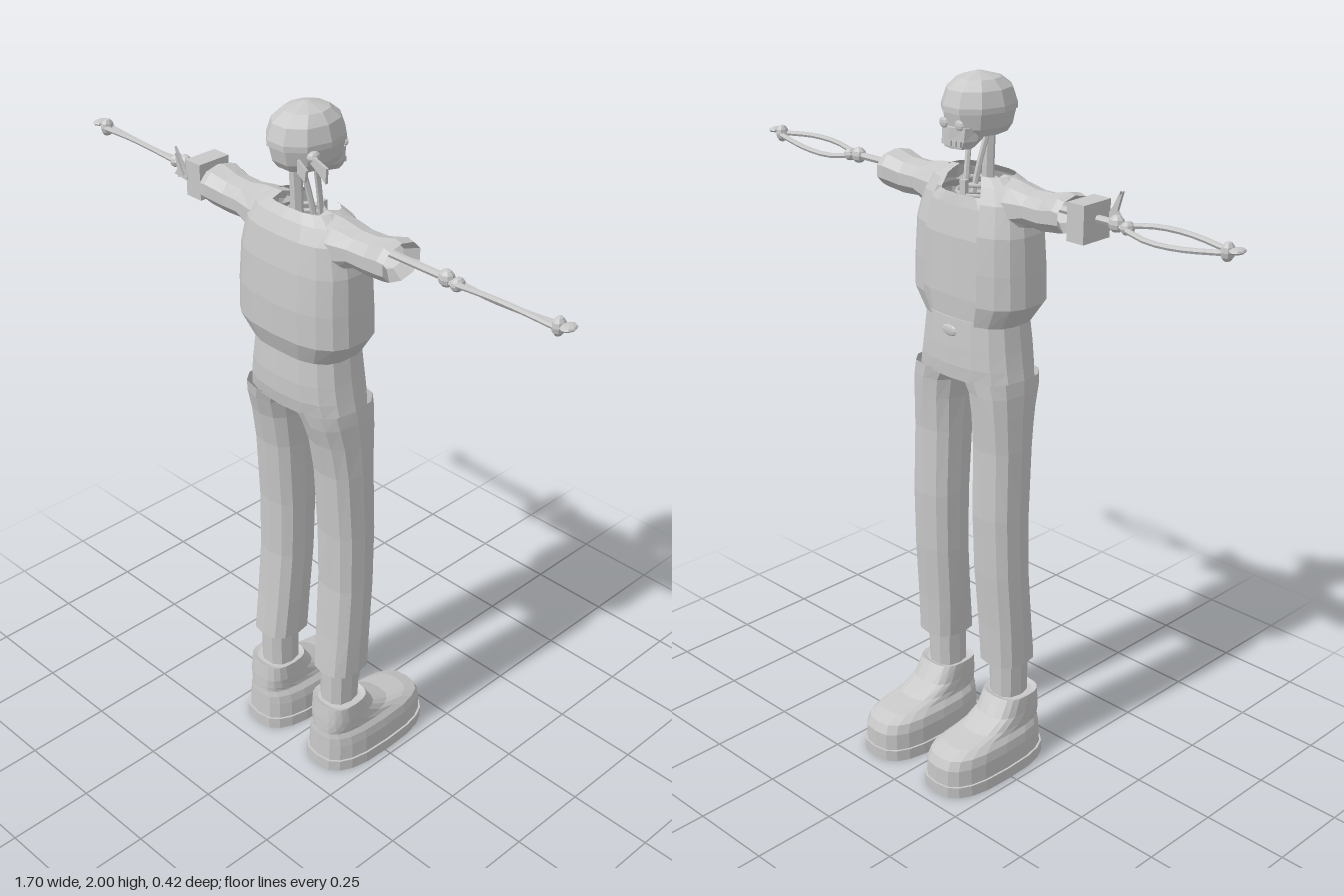
import * as THREE from 'three';

const cloth = new THREE.MeshStandardMaterial({ color: 0xc8c8c8, side: THREE.DoubleSide });
cloth.name = 'plain grey';

// Faceted surface through super-ellipse rings [pos, cMin, cMax, zMin, zMax].
// axis 'y': rings lie in x/z; axis 'x': rings lie in y/z.
function loft(rings, { axis = 'y', n = 12, power = 2.4, start = 0, sweep = Math.PI * 2, caps = false } = {}) {
  const bend = (v) => Math.sign(v) * Math.pow(Math.abs(v), 2 / power);
  const place = (p, u, z) => (axis === 'y' ? [u, p, z] : [p, u, z]);
  const pos = [], idx = [];
  for (const [p, u0, u1, z0, z1] of rings) {
    for (let i = 0; i <= n; i++) {
      const a = start + (sweep * i) / n;
      pos.push(...place(p, (u0 + u1) / 2 + ((u1 - u0) / 2) * bend(Math.cos(a)), (z0 + z1) / 2 + ((z1 - z0) / 2) * bend(Math.sin(a))));
    }
  }
  const w = n + 1;
  for (let j = 0; j < rings.length - 1; j++) {
    for (let i = 0; i < n; i++) {
      const a = j * w + i;
      idx.push(a, a + w, a + 1, a + 1, a + w, a + w + 1);
    }
  }
  if (caps) {
    [0, rings.length - 1].forEach((j, end) => {
      const [p, u0, u1, z0, z1] = rings[j];
      const c = pos.length / 3;
      pos.push(...place(p, (u0 + u1) / 2, (z0 + z1) / 2));
      for (let i = 0; i < n; i++) {
        const a = j * w + i;
        if (end) idx.push(c, a + 1, a);
        else idx.push(c, a, a + 1);
      }
    });
  }
  const g = new THREE.BufferGeometry();
  g.setAttribute('position', new THREE.Float32BufferAttribute(pos, 3));
  g.setIndex(idx);
  const flat = g.toNonIndexed();
  flat.computeVertexNormals();
  return flat;
}

function flatten(g) {
  const f = g.index ? g.toNonIndexed() : g;
  f.computeVertexNormals();
  return f;
}

// Thin plate from a list of x/y points
function plate(points, z) {
  const s = new THREE.Shape(points.map(([x, y]) => new THREE.Vector2(x, y)));
  return new THREE.ExtrudeGeometry(s, { depth: 0.008, bevelEnabled: false }).translate(0, 0, z);
}

function rod(points, r) {
  const curve = new THREE.CatmullRomCurve3(points.map((p) => new THREE.Vector3(...p)));
  return flatten(new THREE.TubeGeometry(curve, 8, r, 6, false));
}

function knob(x, y, z, sx, sy, sz) {
  return flatten(new THREE.SphereGeometry(1, 8, 6).scale(sx, sy, sz).translate(x, y, z));
}

export function createModel() {
  const model = new THREE.Group();
  const add = (name, geometry) => {
    const m = new THREE.Mesh(geometry, cloth);
    m.name = name;
    model.add(m);
    return m;
  };
  const box = (name, w, h, d, x, y, z) => add(name, new THREE.BoxGeometry(w, h, d).translate(x, y, z));

  // Jacket, open down the -z side, over a shirt
  const gap = 0.4;
  add('jacket', loft([
    [1.35, -0.155, 0.155, -0.018, 0.19],
    [1.41, -0.196, 0.196, -0.03, 0.212],
    [1.5, -0.193, 0.193, -0.03, 0.212],
    [1.6, -0.188, 0.188, -0.024, 0.204],
    [1.68, -0.17, 0.17, -0.004, 0.19],
    [1.72, -0.145, 0.145, 0.015, 0.17],
    [1.742, -0.105, 0.105, 0.035, 0.15],
  ], { n: 16, power: 2.7, start: -Math.PI / 2 + gap, sweep: Math.PI * 2 - 2 * gap }));
  add('shirt', loft([
    [1.34, -0.145, 0.145, -0.015, 0.18],
    [1.42, -0.18, 0.18, -0.018, 0.2],
    [1.58, -0.175, 0.175, -0.012, 0.19],
    [1.66, -0.155, 0.155, 0.004, 0.175],
    [1.69, -0.11, 0.11, 0.012, 0.16],
  ], { n: 16, power: 2.7 }));

  // Collarbone rings and sternum visible in the neck opening
  for (let i = 0; i < 3; i++) {
    const r = 0.05 + i * 0.012;
    add('rib', new THREE.TorusGeometry(r, 0.006, 5, 14).rotateX(Math.PI / 2).translate(0, 1.71 - i * 0.025, 0.09));
  }
  box('sternum', 0.02, 0.09, 0.012, 0, 1.68, 0.03);

  // Trousers seat
  add('trouserSeat', loft([
    [1.19, -0.178, 0.178, -0.025, 0.19],
    [1.23, -0.17, 0.17, -0.028, 0.197],
    [1.28, -0.162, 0.162, -0.026, 0.197],
    [1.36, -0.152, 0.152, -0.02, 0.19],
  ], { n: 16, power: 2.5, caps: true }));
  add('beltBuckle', knob(0, 1.325, -0.024, 0.028, 0.016, 0.006));

  for (const s of [1, -1]) {
    const side = s > 0 ? 'left' : 'right';
    const mirror = (rings) => rings.map(([p, a, b, c, d]) => [p, s * a, s * b, c, d]);

    // Trouser leg, sock and shoe
    add(side + 'TrouserLeg', loft(mirror([
      [0.33, 0.055, 0.195, 0.01, 0.16],
      [0.45, 0.05, 0.195, 0.005, 0.147],
      [0.62, 0.045, 0.193, -0.008, 0.133],
      [0.8, 0.042, 0.191, -0.015, 0.133],
      [1.0, 0.04, 0.188, -0.012, 0.145],
      [1.1, 0.038, 0.184, -0.018, 0.162],
      [1.16, 0.03, 0.181, -0.022, 0.18],
      [1.2, 0.004, 0.177, -0.025, 0.19],
    ]), { n: 12, power: 2.6 }));
    add(side + 'Sock', loft(mirror([
      [0.19, 0.075, 0.175, 0.04, 0.145],
      [0.36, 0.075, 0.178, 0.035, 0.145],
    ]), { n: 10 }));
    add(side + 'Sole', loft(mirror([
      [0, 0.028, 0.23, -0.21, 0.188],
      [0.035, 0.028, 0.23, -0.212, 0.188],
    ]), { n: 20, power: 2.8, caps: true }));
    add(side + 'Shoe', loft(mirror([
      [0.035, 0.034, 0.224, -0.206, 0.182],
      [0.085, 0.036, 0.222, -0.206, 0.18],
      [0.112, 0.042, 0.217, -0.194, 0.179],
      [0.128, 0.055, 0.206, -0.15, 0.177],
      [0.142, 0.058, 0.204, -0.07, 0.176],
      [0.17, 0.059, 0.202, -0.008, 0.174],
      [0.22, 0.061, 0.199, 0.025, 0.168],
      [0.215, 0.075, 0.185, 0.038, 0.155],
    ]), { n: 20, power: 2.8, caps: true }));

    // Sleeve with flared open cuff
    add(side + 'Sleeve', loft([
      [s * 0.08, 1.6, 1.742, 0.025, 0.165],
      [s * 0.14, 1.6, 1.738, 0.025, 0.16],
      [s * 0.2, 1.63, 1.726, 0.032, 0.15],
      [s * 0.255, 1.626, 1.728, 0.032, 0.148],
      [s * 0.31, 1.634, 1.742, 0.02, 0.16],
      [s * 0.33, 1.638, 1.736, 0.022, 0.158],
      [s * 0.3, 1.66, 1.72, 0.05, 0.125],
    ], { axis: 'x', n: 10, power: 2.1 }));

    // Arm bones
    const y = 1.695, z = 0.085;
    add(side + 'UpperArmBone', rod([[s * 0.15, y, z], [s * 0.3, y, z], [s * 0.46, y, z]], 0.01));
    add(side + 'Elbow', knob(s * 0.47, y, z, 0.022, 0.023, 0.02));
    add(side + 'ElbowEnd', knob(s * 0.505, y - 0.004, z, 0.017, 0.018, 0.022));
    for (const k of [1, -1]) {
      add(side + 'ForearmBone', rod([
        [s * 0.49, y - 0.003, z + k * 0.009],
        [s * 0.58, y - 0.003 + k * 0.014, z + k * 0.02],
        [s * 0.68, y + k * 0.014, z + k * 0.02],
        [s * 0.81, y + 0.003, z + k * 0.009],
      ], 0.0075));
    }
    add(side + 'Wrist', knob(s * 0.805, y + 0.004, z, 0.016, 0.025, 0.021));
    add(side + 'Hand', knob(s * 0.832, y + 0.011, z, 0.018, 0.008, 0.026));
  }

  // Knotted band on the upper right arm
  box('armBand', 0.055, 0.1, 0.1, -0.382, 1.687, 0.083);
  add('armBandTail', plate([[-0.4, 1.69], [-0.45, 1.762], [-0.435, 1.71], [-0.455, 1.685], [-0.41, 1.68]], 0.128))
    .geometry.rotateX(0);
  add('armBandTail', plate([[-0.4, 1.7], [-0.428, 1.755], [-0.42, 1.69]], 0.145));

  // Neck
  add('neckSpine', rod([[0, 1.62, 0.12], [0, 1.75, 0.12], [0, 1.87, 0.125]], 0.017));
  for (const s of [1, -1]) {
    add('neckCord', rod([[s * 0.014, 1.69, 0.05], [s * 0.022, 1.77, 0.065], [s * 0.034, 1.87, 0.09]], 0.008));
  }

  // Head: bandana cap, band, face and jaw
  add('bandanaCap', loft([
    [1.905, -0.09, 0.09, -0.023, 0.195],
    [1.92, -0.09, 0.09, -0.023, 0.195],
    [1.96, -0.078, 0.078, -0.008, 0.18],
    [1.985, -0.055, 0.055, 0.022, 0.145],
    [2.0, -0.006, 0.006, 0.075, 0.09],
  ], { n: 10, power: 2.1, caps: true }));
  add('bandanaBand', loft([
    [1.845, -0.066, 0.066, 0.0, 0.165],
    [1.865, -0.077, 0.077, -0.012, 0.18],
    [1.91, -0.086, 0.086, -0.02, 0.19],
  ], { n: 10, power: 2.2, caps: true }));
  add('jaw', loft([
    [1.815, -0.04, 0.04, -0.018, 0.045],
    [1.835, -0.052, 0.052, -0.022, 0.07],
    [1.87, -0.056, 0.056, -0.022, 0.09],
  ], { n: 8, caps: true }));
  for (let i = -2; i <= 2; i++) box('tooth', 0.012, 0.014, 0.006, i * 0.014, 1.83, -0.021 + Math.abs(i) * 0.003);
  for (const s of [1, -1]) add('eyeSocket', knob(s * 0.028, 1.878, -0.016, 0.016, 0.014, 0.006));

  // Bandana knot and tails on the left side
  add('bandanaKnot', knob(0.082, 1.895, 0.14, 0.014, 0.015, 0.02));
  add('bandanaTail', plate([[0.08, 1.905], [0.138, 1.885], [0.135, 1.845], [0.115, 1.862], [0.08, 1.885]], 0.145));
  add('bandanaTail', plate([[0.075, 1.9], [0.105, 1.88], [0.1, 1.85], [0.075, 1.865]], 0.18));
  return model;
}
